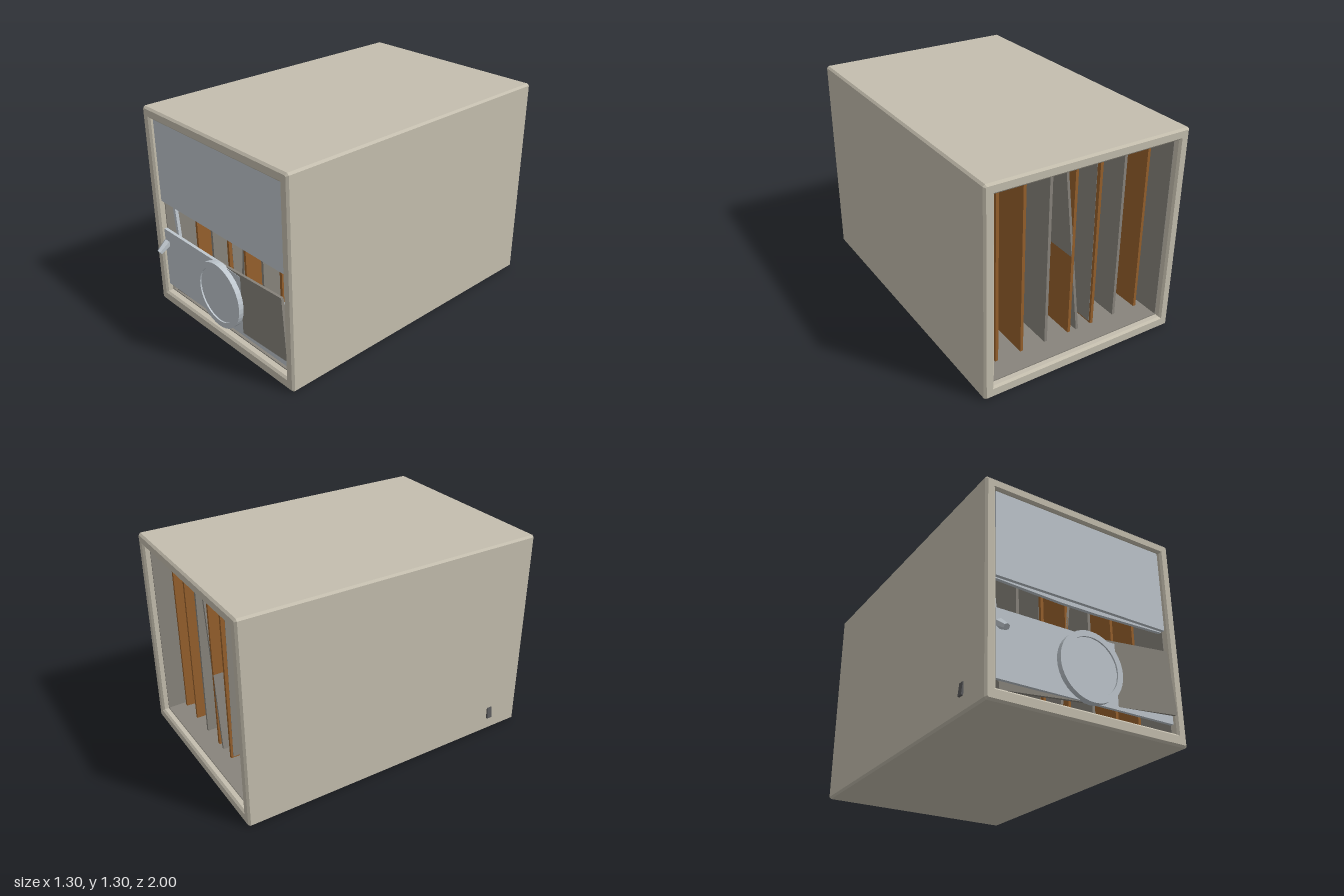
import * as THREE from 'three';

const mat = (name, color) => Object.assign(new THREE.MeshStandardMaterial({ color }), { name });

export function createModel() {
  const beige = mat('beige casing', 0xc4beae);
  const pale = mat('pale blue metal', 0xbfc7ce);
  const grey = mat('grey metal', 0x88847c);
  const brown = mat('brown board', 0x96602c);
  const dark = mat('dark knob', 0x5a5a5c);
  const model = new THREE.Group();
  model.name = 'equipmentCabinet';

  const add = (name, geometry, material, x = 0, y = 0, z = 0, rx = 0, ry = 0, rz = 0) => {
    const mesh = new THREE.Mesh(geometry, material);
    mesh.name = name;
    mesh.position.set(x, y, z);
    mesh.rotation.set(rx, ry, rz);
    model.add(mesh);
    return mesh;
  };
  const box = (name, material, w, h, d, ...place) =>
    add(name, new THREE.BoxGeometry(w, h, d), material, ...place);

  // Hollow casing, open at both ends, with chamfered edges
  const c = 0.012, X = 0.645, H = 1.3;
  const outline = new THREE.Shape([
    [-X + c, 0], [X - c, 0], [X, c], [X, H - c], [X - c, H], [-X + c, H], [-X, H - c], [-X, c],
  ].map(([x, y]) => new THREE.Vector2(x, y)));
  const hx = 0.582, y0 = 0.072, y1 = 1.235;
  outline.holes.push(new THREE.Path([
    [-hx, y0], [-hx, y1], [hx, y1], [hx, y0],
  ].map(([x, y]) => new THREE.Vector2(x, y))));
  add('casing', new THREE.ExtrudeGeometry(outline, {
    depth: 1.945 - 2 * c, bevelEnabled: true, bevelSegments: 1,
    bevelSize: c, bevelThickness: c, bevelOffset: -c,
  }), beige, 0, 0, -1 + c);

  // Grey lining on the inner walls
  for (const s of [-1, 1]) {
    box('sideLining', grey, 0.006, y1 - y0, 1.86, s * (hx - 0.003), (y0 + y1) / 2, -0.03);
  }
  box('floorLining', grey, 2 * hx, 0.006, 1.86, 0, y0 + 0.003, -0.03);
  box('ceilingLining', grey, 2 * hx, 0.006, 1.86, 0, y1 - 0.003, -0.03);

  // Row of upright boards running front to back
  const boards = [brown, grey, brown, brown, grey, brown, brown];
  boards.forEach((material, i) => {
    box('uprightBoard', material, 0.018, 1.065, 1.62, (i - 3) * 0.163, 0.648, -0.06);
  });
  // Two boards that have slipped out of line
  box('leaningBoard', grey, 0.016, 1.07, 1.62, 0.003, 0.645, -0.06, 0, 0, -0.115);
  box('slippedBoard', grey, 0.021, 1.05, 1.58, -0.163, 0.638, -0.06, 0.013, 0, 0);

  // Upper front panel with a sagging grey edge behind it
  box('upperPanel', pale, 1.145, 0.525, 0.02, 0, 0.9725, 0.915);
  const sag = new THREE.Shape([
    [-0.57, 0.75], [-0.57, 0.708], [-0.15, 0.69], [0.1, 0.69], [0.57, 0.707], [0.57, 0.75],
  ].map(([x, y]) => new THREE.Vector2(x, y)));
  add('panelBackEdge', new THREE.ExtrudeGeometry(sag, { depth: 0.02, bevelEnabled: false }),
    pale, 0, 0, 0.88);

  // Lower front panel and the crooked plate crossing it
  box('lowerPanel', pale, 1.145, 0.39, 0.02, 0, 0.325, 0.915);
  box('crookedPlate', grey, 1.135, 0.385, 0.016, 0.013, 0.327, 0.91, 0, -0.04, 0.084);

  // Round dial: raised ring around a recessed face
  const ring = new THREE.Shape().absarc(0, 0, 0.205, 0, Math.PI * 2);
  ring.holes.push(new THREE.Path().absarc(0, 0, 0.17, 0, Math.PI * 2, true));
  add('dialRing', new THREE.ExtrudeGeometry(ring, {
    depth: 0.042, bevelEnabled: false, curveSegments: 20,
  }), pale, 0, 0.325, 0.915);
  add('dialFace', new THREE.CylinderGeometry(0.171, 0.171, 0.03, 20), pale,
    0, 0.325, 0.933, Math.PI / 2);

  // Lever behind the panels, its knob in front and the small side knob
  box('leverArm', pale, 0.024, 0.42, 0.02, -0.544, 0.6, 0.85, 0, 0, 0.1);
  const knob = new THREE.CylinderGeometry(0.018, 0.028, 0.085, 6).toNonIndexed();
  knob.computeVertexNormals();
  add('leverKnob', knob, pale, -0.55, 0.412, 0.953, 2.2);
  box('knobStem', grey, 0.014, 0.014, 0.1, -0.55, 0.42, 0.9);
  box('sideKnob', dark, 0.012, 0.075, 0.035, -0.648, 0.13, 0.72, 0, 0, -0.12);
  box('sideKnobStem', dark, 0.14, 0.014, 0.014, -0.58, 0.13, 0.72);

  return model;
}
